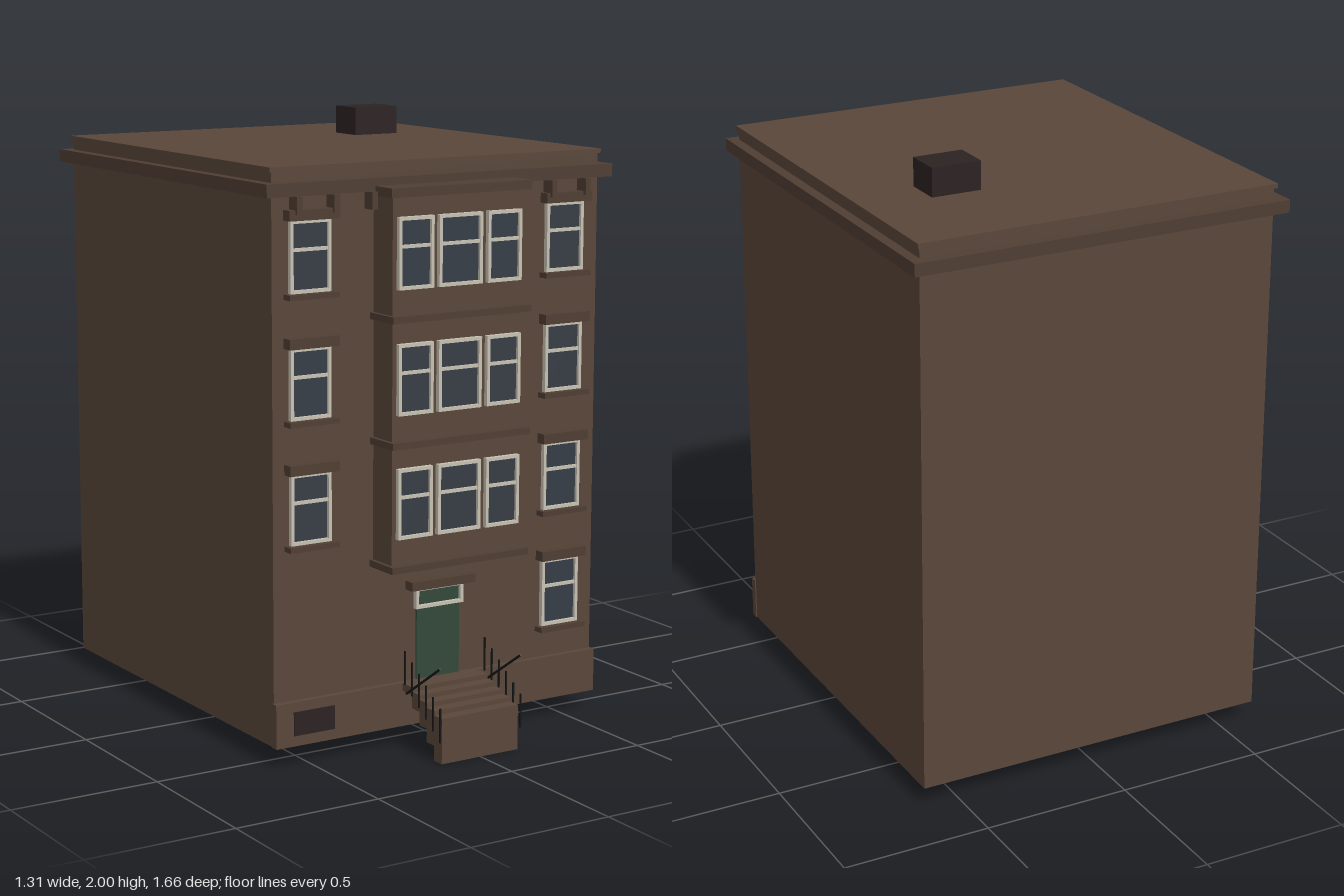
import * as THREE from 'three';

const mat = (name, color) => {
  const m = new THREE.MeshStandardMaterial({ color });
  m.name = name;
  return m;
};

export function createModel() {
  const stone = mat('brownstone', 0x594639);
  const trim = mat('trim stone', 0x503e33);
  const glass = mat('window glass', 0x363d45);
  const paint = mat('cream paint', 0xc8c2b4);
  const green = mat('door green', 0x33493a);
  const dark = mat('chimney brick', 0x2c2222);
  const iron = mat('iron', 0x151515);

  const model = new THREE.Group();
  model.name = 'townhouse';

  // Box given by its extents on each axis
  const box = (name, material, [x0, x1], [y0, y1], [z0, z1], parent = model) => {
    const mesh = new THREE.Mesh(new THREE.BoxGeometry(x1 - x0, y1 - y0, z1 - z0), material);
    mesh.position.set((x0 + x1) / 2, (y0 + y1) / 2, (z0 + z1) / 2);
    mesh.name = name;
    parent.add(mesh);
    return mesh;
  };
  const around = (c, half) => [c - half, c + half];

  const WALL = 0.573, BAY = 0.683, STOREY = 0.398;

  // Main block, plinth, cornice and parapet
  box('mainBlock', stone, [-0.62, 0.62], [0.065, 1.815], [-0.79, WALL]);
  box('plinth', stone, [-0.624, 0.624], [0.065, 0.21], [WALL - 0.005, 0.595]);
  box('cornice', trim, [-0.655, 0.655], [1.815, 1.857], [-0.83, 0.607]);
  box('parapet', stone, [-0.62, 0.62], [1.857, 1.89], [-0.79, WALL]);
  box('roofCap', stone, [-0.628, 0.628], [1.89, 1.905], [-0.798, 0.579]);
  box('chimney', dark, [0.225, 0.395], [1.905, 2], [-0.425, -0.295]);
  box('cellarVent', dark, [-0.56, -0.41], [0.1, 0.178], [0.594, 0.599]);

  // Brackets under the cornice
  for (const side of [-1, 1]) for (const x of [0.275, 0.413, 0.547])
    box('bracket', trim, around(side * x, 0.01), [1.76, 1.815], [WALL - 0.005, 0.622]);

  // Painted frame with a rectangular opening
  const frame = (parent, w, h, edge, depth) => {
    const rect = (target, a, b) => {
      target.moveTo(-a, -b); target.lineTo(a, -b);
      target.lineTo(a, b); target.lineTo(-a, b); target.closePath();
      return target;
    };
    const shape = rect(new THREE.Shape(), w / 2, h / 2);
    shape.holes.push(rect(new THREE.Path(), w / 2 - edge, h / 2 - edge));
    const mesh = new THREE.Mesh(
      new THREE.ExtrudeGeometry(shape, { depth, bevelEnabled: false }), paint);
    mesh.name = 'frame';
    parent.add(mesh);
  };

  // Sash window: frame, meeting rail and pane
  const sashWindow = (x, y0, w, z) => {
    const h = 0.228, group = new THREE.Group();
    group.name = 'sashWindow';
    group.position.set(x, y0 + h / 2, z);
    frame(group, w, h, 0.011, 0.016);
    box('pane', glass, around(0, w / 2 - 0.009), around(0, h / 2 - 0.009), [0, 0.006], group);
    box('meetingRail', paint, around(0, w / 2 - 0.01), [0.016, 0.027], [0, 0.013], group);
    model.add(group);
  };

  // Wall windows with sill and lintel; the left column has one at ground level too
  const wallWindow = (x, y0) => {
    sashWindow(x, y0, 0.147, WALL);
    box('sill', trim, around(x, 0.09), [y0 - 0.017, y0], [WALL - 0.005, 0.611]);
    box('lintel', trim, around(x, 0.09), [y0 + 0.228, y0 + 0.261], [WALL - 0.005, 0.611]);
  };
  for (let i = 0; i < 4; i++) {
    const y = 0.318 + i * STOREY;
    wallWindow(0.482, y);
    if (i > 0) wallWindow(-0.488, y);
  }

  // Projecting bay with string courses and triple windows
  box('bay', stone, [-0.25, 0.25], [0.612, 1.805], [WALL - 0.005, BAY]);
  box('bayCap', trim, [-0.265, 0.265], [1.802, 1.832], [WALL - 0.005, 0.702]);
  for (let i = 0; i < 3; i++) {
    const y = 0.61 + i * 0.4;
    box('stringCourse', trim, [-0.263, 0.263], [y, y + 0.022], [WALL - 0.005, 0.708]);
    for (const [x, w] of [[-0.17, 0.13], [-0.003, 0.164], [0.165, 0.13]])
      sashWindow(x, 0.717 + i * STOREY, w, BAY);
  }

  // Entrance: door, transom and hood
  box('door', green, [-0.086, 0.08], [0.21, 0.452], [WALL - 0.003, 0.58]);
  const transom = new THREE.Group();
  transom.name = 'transom';
  transom.position.set(-0.003, 0.483, WALL);
  frame(transom, 0.184, 0.07, 0.011, 0.018);
  box('transomPane', green, around(0, 0.084), around(0, 0.027), [0, 0.006], transom);
  model.add(transom);
  box('doorHood', trim, [-0.126, 0.12], [0.516, 0.545], [WALL - 0.005, 0.614]);

  // Open-backed front steps, lowest first
  const bottoms = [0, 0.05, 0.095, 0.14, 0.185];
  bottoms.forEach((y, i) => {
    const z = 0.826 - i * 0.043;
    box('step', stone, [-0.15, 0.145], [y, 0.15 + i * 0.015], [z - 0.044, z]);
  });
  box('landing', stone, [-0.15, 0.145], [0.185, 0.21], [0.59, 0.613]);

  // Railings: posts rising toward the door and one slanted rail each side
  for (const x of [-0.159, 0.153]) {
    for (let i = 0; i < 6; i++) {
      const y = 0.073 + i * 0.028;
      box('railPost', iron, around(x, 0.0025), [y, y + 0.113], around(0.829 - i * 0.041, 0.0025));
    }
    const from = new THREE.Vector3(x, 0.315, 0.826), to = new THREE.Vector3(x, 0.185, 0.632);
    const rail = new THREE.Mesh(new THREE.BoxGeometry(0.006, 0.006, from.distanceTo(to)), iron);
    rail.position.copy(from).lerp(to, 0.5);
    rail.lookAt(to);
    rail.name = 'handrail';
    model.add(rail);
  }

  return model;
}
